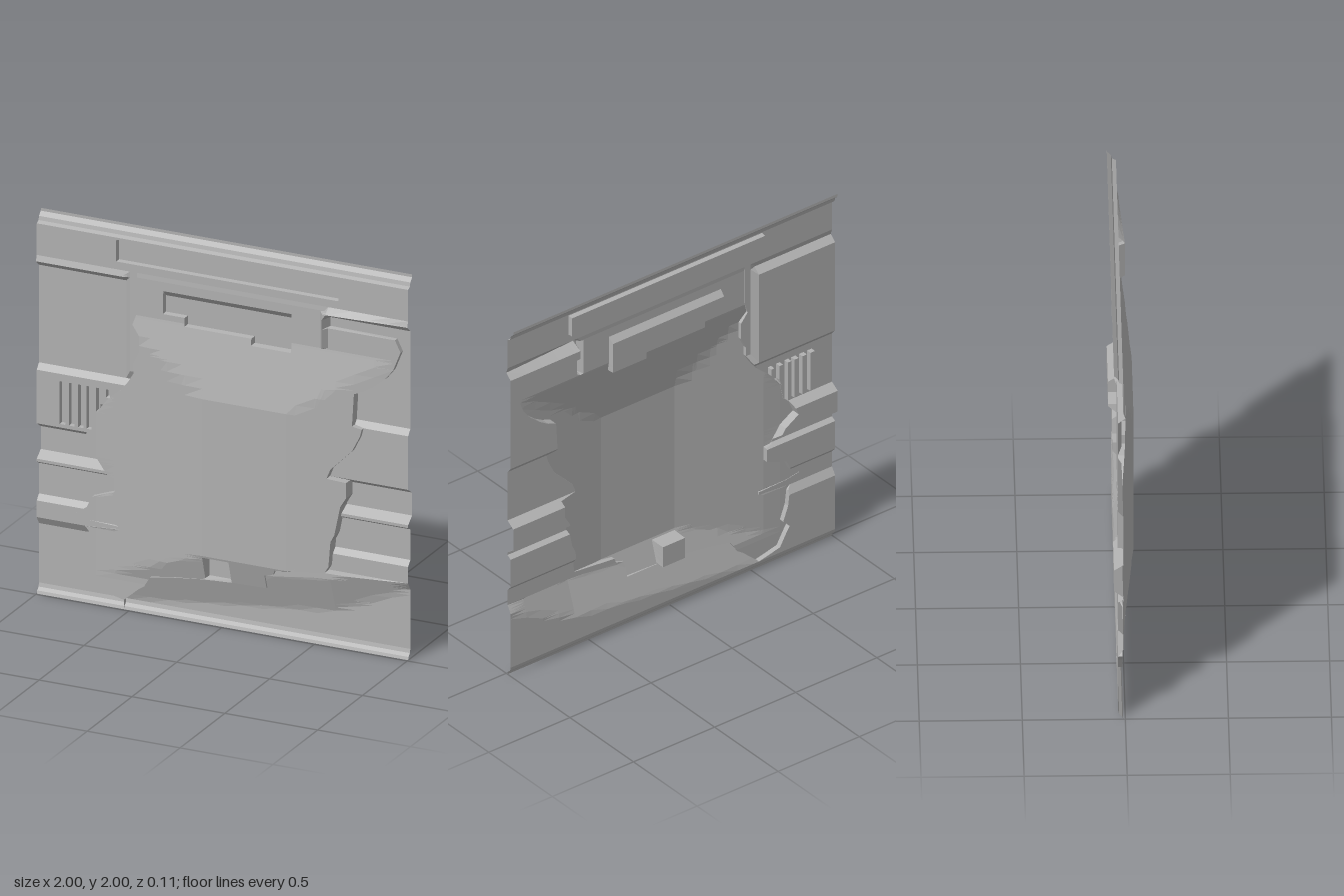
import * as THREE from 'three';

const FACE = -0.01, DEEP = -0.035;

// Piecewise-linear lookup through [position, value] pairs
function lerpTable(table, t) {
  if (t <= table[0][0]) return table[0][1];
  for (let i = 1; i < table.length; i++) {
    const [t0, v0] = table[i - 1], [t1, v1] = table[i];
    if (t <= t1) return v0 + (v1 - v0) * (t - t0) / (t1 - t0);
  }
  return table[table.length - 1][1];
}

// Moulding profile of the cladding, as [y, z] from the floor upward
const cladding = [
  [0, FACE], [0.015, -0.015], [0.03, -0.03], [0.05, DEEP], [0.36, DEEP], [0.4, FACE],
  [0.487, FACE], [0.515, DEEP], [0.675, DEEP], [0.69, FACE], [0.705, FACE], [0.74, -0.055],
  [0.86, -0.055], [0.89, FACE], [1.17, FACE], [1.2, DEEP], [1.71, DEEP], [1.74, 0],
  [1.77, FACE], [1.935, FACE], [1.945, -0.03], [1.965, -0.035], [1.985, -0.055], [2, -0.055],
];

// Ragged edges of the bulged centre, as [y, x]
const leftEdge = [
  [0.05, -0.53], [0.08, -0.66], [0.15, -0.7], [0.18, -0.72], [0.22, -0.68], [0.3, -0.71],
  [0.38, -0.72], [0.4, -0.74], [0.415, -0.55], [0.43, -0.55], [0.435, -0.72], [0.45, -0.8],
  [0.48, -0.76], [0.5, -0.73], [0.56, -0.7], [0.59, -0.62], [0.605, -0.58], [0.68, -0.58],
  [0.685, -0.62], [0.77, -0.68], [0.82, -0.76], [0.89, -0.73], [0.91, -0.7], [1.0, -0.68],
  [1.08, -0.62], [1.15, -0.54], [1.2, -0.5], [1.25, -0.47], [1.3, -0.47], [1.36, -0.44],
  [1.45, -0.44], [1.5, -0.48], [1.56, -0.46], [1.77, -0.46], [1.79, -0.6],
];
const rightEdge = [
  [0.05, -0.53], [0.12, -0.45], [0.14, -0.42], [0.2, -0.38], [0.22, -0.27], [0.24, -0.1],
  [0.25, 0.06], [0.255, 0.25], [0.33, 0.25], [0.345, 0.3], [0.37, 0.31], [0.395, 0.57],
  [0.43, 0.59], [0.56, 0.6], [0.6, 0.62], [0.75, 0.65], [0.8, 0.68], [0.88, 0.68],
  [0.89, 0.58], [0.94, 0.6], [1.05, 0.71], [1.13, 0.75], [1.17, 0.76], [1.18, 0.71],
  [1.35, 0.72], [1.37, 0.77], [1.4, 0.82], [1.45, 0.88], [1.5, 0.92], [1.6, 0.96],
  [1.66, 0.93], [1.664, 0.58], [1.77, 0.58], [1.79, 0.65],
];

// Vent slots in the left cladding: [x0, x1, y0]
const vents = [
  [-0.875, -0.848, 0.91], [-0.825, -0.798, 0.91], [-0.775, -0.75, 0.91],
  [-0.73, -0.708, 0.91], [-0.678, -0.658, 1.01], [-0.625, -0.607, 1.09],
];

function leftZ(x, y) {
  if (y > 1.17 && y < 1.77 && x > -0.5) return FACE;
  const inVent = vents.some(([a, b, y0]) => x >= a && x <= b && y >= y0 && y <= 1.13);
  return inVent ? DEEP : lerpTable(cladding, y);
}

function rightZ(x, y) {
  let z = lerpTable(cladding, y);
  // Upper ridge tapers away outward
  if (y > 1.715 && y < 1.77) {
    const k = 1 - Math.abs(y - 1.74) / 0.03;
    z += Math.max(0, k) * 0.025 * Math.max(0, (0.97 - x) / 0.4);
  }
  // Lower sheet is pulled forward toward the bulge
  if (y < 0.4) {
    const t = Math.min(y - (0.05 + 0.115 * (x + 0.53)), y - (0.18 + 0.45 * (x - 0.6)));
    z = Math.max(z, Math.min(DEEP + 0.35 * t, 0.03));
  }
  return z;
}

function centreZ(x, y) {
  if (y >= 1.77) {
    // Long shallow strip recess
    const inStrip = x > -0.57 && x < 0.623 && y > 1.812 && y < 1.922;
    return inStrip ? DEEP : lerpTable(cladding, y);
  }
  // Upper recess with a bevelled top and stepped lower edge
  const slotBottom = x < -0.2 ? 1.582 : x < 0.16 ? 1.537 : 1.502;
  if (x > -0.318 && x < 0.372 && y > slotBottom && y < 1.7) {
    return Math.max(DEEP, FACE - (1.7 - y) * 0.84);
  }
  // Raised side lip of the right panel
  if (x > 0.54 && x < 0.56 && y > 1.55 && y < 1.745) return 0.025;
  if (x > 0.565 && y > 1.66) return rightZ(x, y);
  // Square bite in the bottom edge
  if (x > -0.08 && x < 0.06 && y < 0.368) return -0.03;
  const h = Math.min(
    0.055,
    FACE + 0.065 * (x + 0.62) / 0.54,
    FACE + 0.065 * (0.93 - x) / 0.55,
    FACE + 0.065 * (1.56 - y) / 0.36,
    FACE + 0.065 * (y - 0.17) / 0.21,
  );
  return Math.max(h, FACE + 0.002);
}

// Sheet over rows of y, its columns clamped between two edge curves
function sheet(rows, columns, lo, hi, height, wallZ) {
  const pos = [];
  const grid = rows.map((y) => {
    const a = lo(y), b = hi(y);
    const line = columns.map((c) => {
      const x = Math.min(Math.max(c, a), b);
      return [x, y, height(x, y)];
    });
    // Short walls join the edges to the neighbouring cladding
    if (wallZ) {
      line.unshift([a, y, leftZ(a, y)]);
      line.push([b, y, rightZ(b, y)]);
    }
    return line;
  });
  const push = (p, q, r) => {
    const u = new THREE.Vector3(q[0] - p[0], q[1] - p[1], q[2] - p[2]);
    const v = new THREE.Vector3(r[0] - p[0], r[1] - p[1], r[2] - p[2]);
    if (u.cross(v).length() > 1e-9) pos.push(...p, ...q, ...r);
  };
  for (let j = 0; j + 1 < grid.length; j++) {
    for (let i = 0; i + 1 < grid[j].length; i++) {
      const a = grid[j][i], b = grid[j][i + 1], c = grid[j + 1][i + 1], d = grid[j + 1][i];
      push(a, b, c);
      push(a, c, d);
    }
  }
  const geo = new THREE.BufferGeometry();
  geo.setAttribute('position', new THREE.Float32BufferAttribute(pos, 3));
  geo.computeVertexNormals();
  return geo;
}

export function createModel() {
  const group = new THREE.Group();
  group.name = 'damagedWallPanel';
  const metal = new THREE.MeshStandardMaterial({ color: 0xb0b0b0, side: THREE.DoubleSide, flatShading: true });
  metal.name = 'grey metal';

  const steps = [0.366, 0.37, 0.908, 0.912, 1.008, 1.012, 1.088, 1.092, 1.128, 1.132, 1.5, 1.504,
    1.535, 1.539, 1.55, 1.58, 1.584, 1.67, 1.7, 1.744, 1.747, 1.81, 1.814, 1.92, 1.924];
  const all = [...cladding, ...leftEdge, ...rightEdge].map((p) => p[0]).concat(steps);
  for (let y = 0.1; y < 1.6; y += 0.1) all.push(y);
  const rows = [...new Set(all.map((y) => Math.round(y * 1000) / 1000))].sort((a, b) => a - b);

  const xl = (y) => lerpTable(leftEdge, y), xr = (y) => lerpTable(rightEdge, y);
  const byValue = (a, b) => a - b;
  const leftCols = [-1, -0.53, -0.498, 1];
  vents.forEach(([a, b]) => leftCols.push(a - 0.002, a, b, b + 0.002));
  const centreCols = [-1, -0.572, -0.568, -0.32, -0.316, -0.202, -0.198, -0.082, -0.078, 0.058, 0.062,
    0.158, 0.162, 0.37, 0.374, 0.53, 0.55, 0.57, 0.621, 0.625, 1];
  for (let x = -0.7; x < 0.95; x += 0.1) centreCols.push(x + 0.02);
  const rightCols = [-1];
  for (let x = -0.5; x <= 1.01; x += 0.1) rightCols.push(x);

  const add = (name, geo) => {
    const mesh = new THREE.Mesh(geo, metal);
    mesh.name = name;
    group.add(mesh);
  };
  add('leftCladding', sheet(rows, leftCols.sort(byValue), () => -1, xl, leftZ, false));
  add('bulgedCentre', sheet(rows, centreCols.sort(byValue), xl, xr, centreZ, true));
  add('rightCladding', sheet(rows, rightCols.sort(byValue), xr, () => 1, rightZ, false));
  return group;
}
